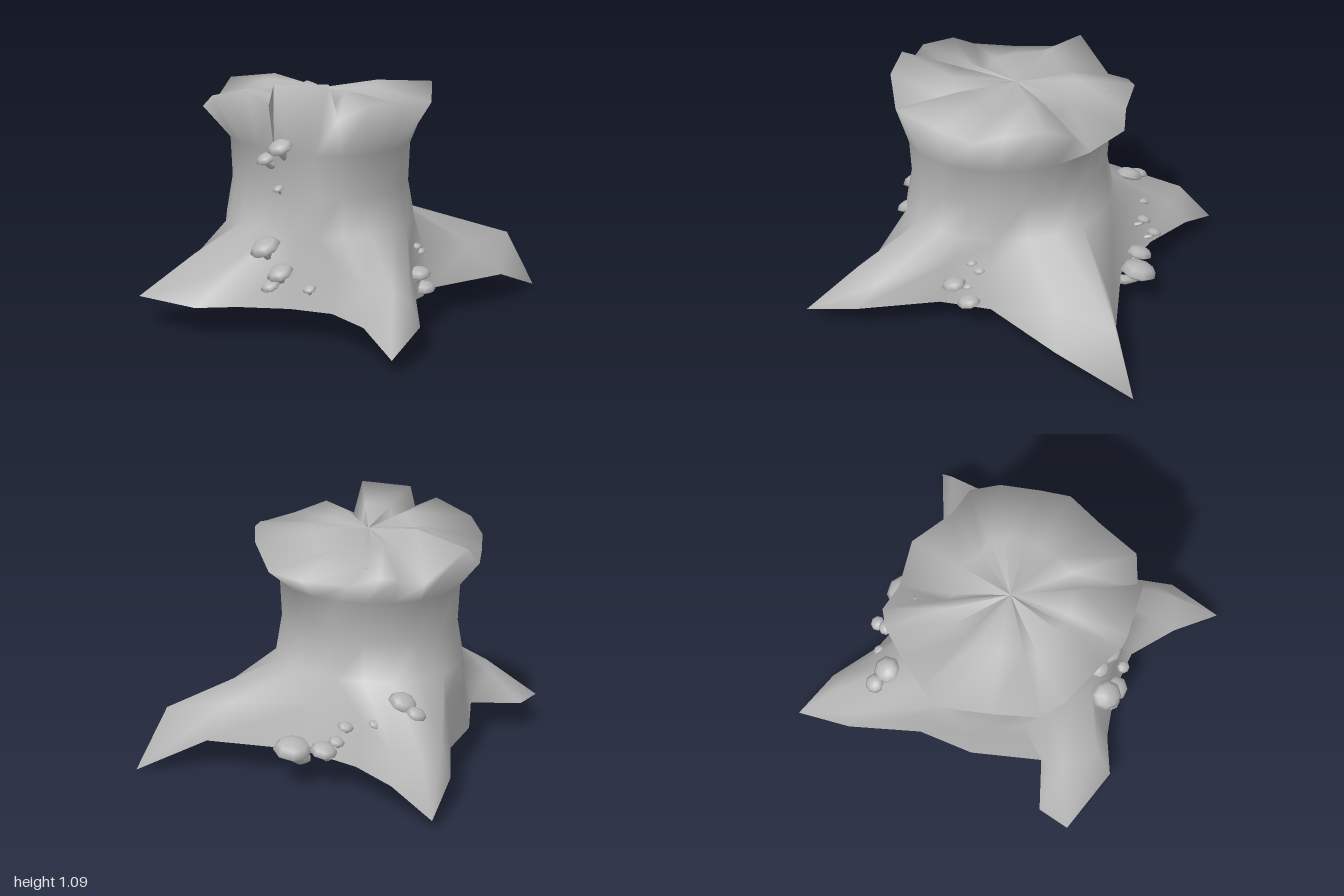
import * as THREE from 'three';

const bark = new THREE.MeshStandardMaterial({ color: 0xb4b4b4, side: THREE.DoubleSide });
bark.name = 'pale grey';

// Columns run round the stump from the right root; each holds x, y, z.
const base = [
  [0.92, 0, -0.29], [0.71, 0.13, 0], [0.35, 0.13, 0.21], [0.25, 0.13, 0.42],
  [0.23, 0.13, 0.79], [0.09, 0.06, 1], [0, 0.13, 0.78], [-0.11, 0.13, 0.57],
  [-0.28, 0.13, 0.48], [-0.5, 0.13, 0.43], [-0.68, 0.13, 0.43], [-0.92, 0.13, 0.22],
  [-0.83, 0.13, 0.1], [-0.6, 0.13, 0.12], [-0.55, 0.13, -0.2], [-0.44, 0.13, -0.43],
  [-0.4, 0.13, -0.76], [-0.3, 0.05, -1], [-0.15, 0.13, -0.83], [-0.02, 0.13, -0.62],
  [0.2, 0.13, -0.42], [0.61, 0.13, -0.29]];
const knee = [
  [0.78, 0.27, -0.24], [0.56, 0.27, -0.02], [0.32, 0.32, 0.21], [0.24, 0.32, 0.38],
  [0.2, 0.22, 0.7], [0.12, 0.28, 0.76], [0.02, 0.26, 0.67], [-0.1, 0.33, 0.51],
  [-0.26, 0.33, 0.46], [-0.44, 0.33, 0.37], [-0.6, 0.25, 0.37], [-0.68, 0.31, 0.21],
  [-0.68, 0.28, 0.14], [-0.55, 0.33, 0.06], [-0.52, 0.33, -0.2], [-0.42, 0.33, -0.42],
  [-0.37, 0.24, -0.69], [-0.27, 0.26, -0.83], [-0.16, 0.24, -0.74], [-0.05, 0.31, -0.54],
  [0.16, 0.33, -0.38], [0.52, 0.29, -0.27]];
const rim = [
  [0.385, 0.98, -0.15], [0.385, 1.02, -0.02], [0.36, 1, 0.15], [0.34, 0.97, 0.28],
  [0.2, 0.98, 0.4], [0.05, 1, 0.54], [-0.08, 0.94, 0.54], [-0.12, 1.09, 0.55],
  [-0.34, 1.08, 0.47], [-0.36, 0.99, 0.45], [-0.45, 1.05, 0.36], [-0.59, 1, 0.2],
  [-0.63, 0.94, 0.1], [-0.6, 0.92, -0.1], [-0.56, 0.92, -0.32], [-0.5, 1, -0.38],
  [-0.32, 0.88, -0.47], [-0.2, 0.91, -0.53], [-0.12, 0.92, -0.54], [0, 0.87, -0.47],
  [0.2, 0.88, -0.41], [0.33, 0.87, -0.23]];
// Height of each column's fold halfway across the cut top
const folds = [0.02, 0.02, 0.01, -0.02, 0.01, 0.02, -0.03, 0, 0, -0.04, 0,
  -0.07, 0.02, 0.05, 0.06, 0.04, 0.03, 0.04, 0.02, -0.05, 0.02, -0.02];
const COUNT = rim.length;
const radians = THREE.MathUtils.degToRad;

// An oval ring of the trunk, flattened at the front right and fuller at the back right
function trunkRing(y, scale) {
  const lobe = (a, at) => Math.max(0, Math.cos(a - radians(at))) ** 4;
  return rim.map((_, i) => {
    const a = radians(-17 + (i * 360) / COUNT);
    const s = scale * (1 - 0.18 * lobe(a, 141) + 0.06 * lobe(a, 225));
    return [-0.12 + 0.4 * s * Math.cos(a), y, 0.04 + 0.46 * s * Math.sin(a)];
  });
}

// Joins closed rings into one smooth surface
function skin(rings) {
  const index = [];
  for (let j = 0; j < rings.length - 1; j++) {
    for (let i = 0; i < COUNT; i++) {
      const a = j * COUNT + i, b = j * COUNT + ((i + 1) % COUNT);
      index.push(a, a + COUNT, b, b, a + COUNT, b + COUNT);
    }
  }
  const g = new THREE.BufferGeometry();
  g.setAttribute('position', new THREE.Float32BufferAttribute(rings.flat(2), 3));
  g.setIndex(index);
  g.computeVertexNormals();
  return g;
}

function add(parent, geometry, name) {
  const mesh = new THREE.Mesh(geometry, bark);
  mesh.name = name;
  parent.add(mesh);
  return mesh;
}

const capProfile = [[0.001, -0.2], [0.75, -0.28], [1, -0.05], [0.75, 0.35], [0.35, 0.52], [0.001, 0.56]]
  .map(([x, y]) => new THREE.Vector2(x, y));

// A tilted cap on a short stem that bends back into the trunk
function mushroom(x, y, z, r) {
  const g = new THREE.Group();
  g.name = 'mushroom';
  const out = new THREE.Vector3(x + 0.12, 0, z).normalize();
  const cap = add(g, new THREE.LatheGeometry(capProfile, 8), 'mushroomCap');
  cap.scale.set(r, r * 0.85, r);
  cap.rotation.set(out.z * 0.3, 0, 0.25 - out.x * 0.3);
  const path = new THREE.QuadraticBezierCurve3(
    new THREE.Vector3(0, 0, 0),
    new THREE.Vector3(0, -r * 0.8, 0),
    out.clone().multiplyScalar(-r * 1.2).setY(-r * 0.9));
  add(g, new THREE.TubeGeometry(path, 3, r * 0.28, 6), 'mushroomStem');
  g.position.set(x, y, z);
  return g;
}

export function createModel() {
  const model = new THREE.Group();
  model.name = 'treeStump';

  // Hollow stump, open below: roots, trunk, notched rim and folded cut top
  const centre = [-0.11, 1, 0];
  const halfway = rim.map((p, i) => p.map((v, k) =>
    v + (centre[k] - v) * 0.5 + (k === 1 ? folds[i] : 0)));
  add(model, skin([base, knee, trunkRing(0.44, 1.05), trunkRing(0.6, 0.98),
    trunkRing(0.78, 1), rim, halfway, rim.map(() => centre)]), 'stump');

  // Mushrooms in clusters
  const clusters = {
    frontMushrooms: [[-0.31, 0.81, 0.41, 0.06], [-0.37, 0.755, 0.37, 0.045],
      [-0.32, 0.625, 0.37, 0.025], [-0.38, 0.385, 0.42, 0.07], [-0.32, 0.285, 0.47, 0.06],
      [-0.36, 0.225, 0.45, 0.045], [-0.2, 0.225, 0.52, 0.03]],
    rootMushrooms: [[0.28, 0.24, 0.36, 0.055], [0.31, 0.16, 0.3, 0.055],
      [0.28, 0.34, 0.28, 0.025], [0.3, 0.31, 0.25, 0.028], [0.28, 0.22, 0.3, 0.03]],
    backMushrooms: [[-0.27, 0.36, -0.62, 0.045], [-0.22, 0.39, -0.56, 0.065],
      [-0.28, 0.36, -0.53, 0.05], [-0.1, 0.31, -0.6, 0.028], [0.06, 0.24, -0.61, 0.035],
      [0.02, 0.29, -0.57, 0.035], [0.11, 0.17, -0.53, 0.06], [0.24, 0.165, -0.49, 0.085]],
    topMushrooms: [[-0.1, 0.92, -0.4, 0.03], [-0.1, 0.93, -0.35, 0.022]],
  };
  for (const [name, spots] of Object.entries(clusters)) {
    const cluster = new THREE.Group();
    cluster.name = name;
    for (const s of spots) cluster.add(mushroom(...s));
    model.add(cluster);
  }
  return model;
}
